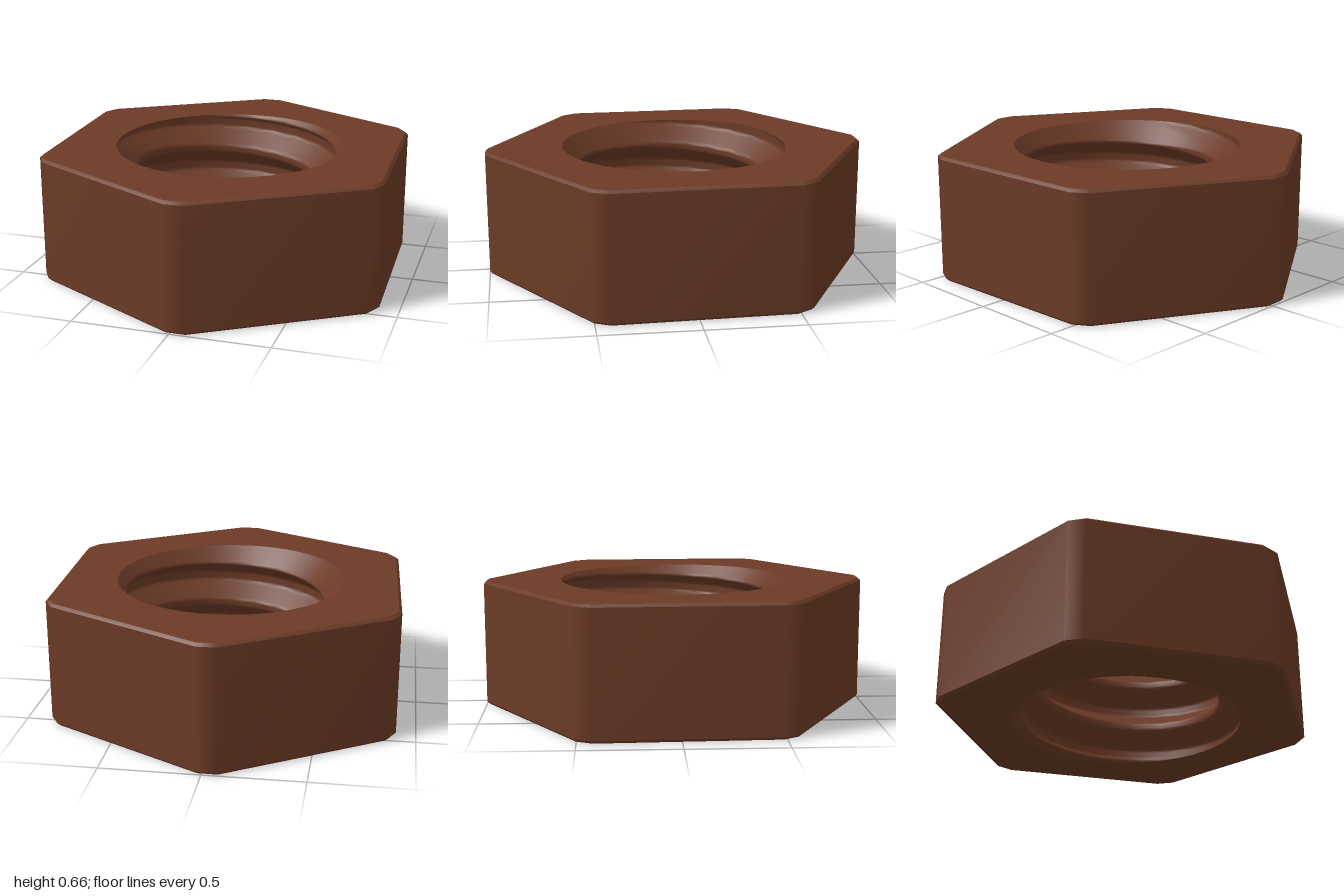
import * as THREE from 'three';

const HEIGHT = 0.66, MOUTH = 0.6, CREST = 0.49, PITCH = 0.26, SEGMENTS = 48, ROWS = 60;

// Joins closed rings of [x, y, z] points into one smooth wall, facing out or in
function loft(rings, inward = false) {
  const n = rings[0].length, index = [];
  for (let j = 0; j < rings.length - 1; j++) {
    for (let i = 0; i < n; i++) {
      const a = j * n + i, b = j * n + (i + 1) % n, c = b + n, d = a + n;
      index.push(...(inward ? [a, c, b, a, d, c] : [a, b, c, a, c, d]));
    }
  }
  const geometry = new THREE.BufferGeometry();
  geometry.setAttribute('position', new THREE.Float32BufferAttribute(rings.flat(2), 3));
  geometry.setIndex(index);
  geometry.computeVertexNormals();
  return geometry;
}

export function createModel() {
  const group = new THREE.Group();
  group.name = 'hexNut';
  const rust = new THREE.MeshStandardMaterial({ color: 0x6b3a26 });
  rust.name = 'rustBrown';
  const add = (name, geometry) => {
    const mesh = new THREE.Mesh(geometry, rust);
    mesh.name = name;
    group.add(mesh);
    return mesh;
  };

  // Hexagon with clipped corners, counter-clockwise seen from above as (x, -z)
  const half = [[0.87, 0.49], [0.82, 0.57], [0.02, 1], [-0.08, 1], [-0.86, 0.51], [-0.9, 0.43]];
  const outline = [...half, ...half.map(([x, y]) => [-x, -y])];
  const ring = (scale, y) => outline.map(([x, v]) => [x * scale, y, -v * scale]);
  const inset = 0.984, bevel = 0.014;

  // Six flats and the narrow bevels above and below them
  add('sides', loft([ring(1, bevel), ring(1, HEIGHT - bevel)]));
  add('bottomBevel', loft([ring(inset, 0), ring(1, bevel)]));
  add('topBevel', loft([ring(1, HEIGHT - bevel), ring(inset, HEIGHT)]));

  // Flat faces with a round opening
  const angle = i => i / SEGMENTS * Math.PI * 2;
  const face = sign => {
    const point = ([x, v]) => new THREE.Vector2(x * inset, v * inset * sign);
    const shape = new THREE.Shape(outline.map(point));
    const hole = Array.from({ length: SEGMENTS }, (_, i) =>
      new THREE.Vector2(Math.cos(angle(i)) * MOUTH, Math.sin(angle(i)) * MOUTH));
    shape.holes.push(new THREE.Path(hole));
    return new THREE.ShapeGeometry(shape).rotateX(-sign * Math.PI / 2);
  };
  add('topFace', face(1)).position.y = HEIGHT;
  add('bottomFace', face(-1));

  // Threaded bore: helical ridges cut back by a countersink at each mouth
  const boreRadius = (a, y) => {
    const turn = (y - 0.57) / PITCH - (a - Math.PI * 1.25) / (Math.PI * 2);
    const distance = Math.abs(turn - Math.round(turn)) * 2;
    const thread = CREST + (MOUTH - CREST) * THREE.MathUtils.clamp((distance - 0.15) / 0.65, 0, 1);
    return Math.max(thread, MOUTH - Math.min(y, HEIGHT - y));
  };
  const bore = [];
  for (let j = 0; j <= ROWS; j++) {
    const y = HEIGHT * j / ROWS;
    bore.push(Array.from({ length: SEGMENTS }, (_, i) => {
      const a = angle(i), r = boreRadius(a, y);
      return [Math.cos(a) * r, y, -Math.sin(a) * r];
    }));
  }
  add('threadedBore', loft(bore, true));

  return group;
}
